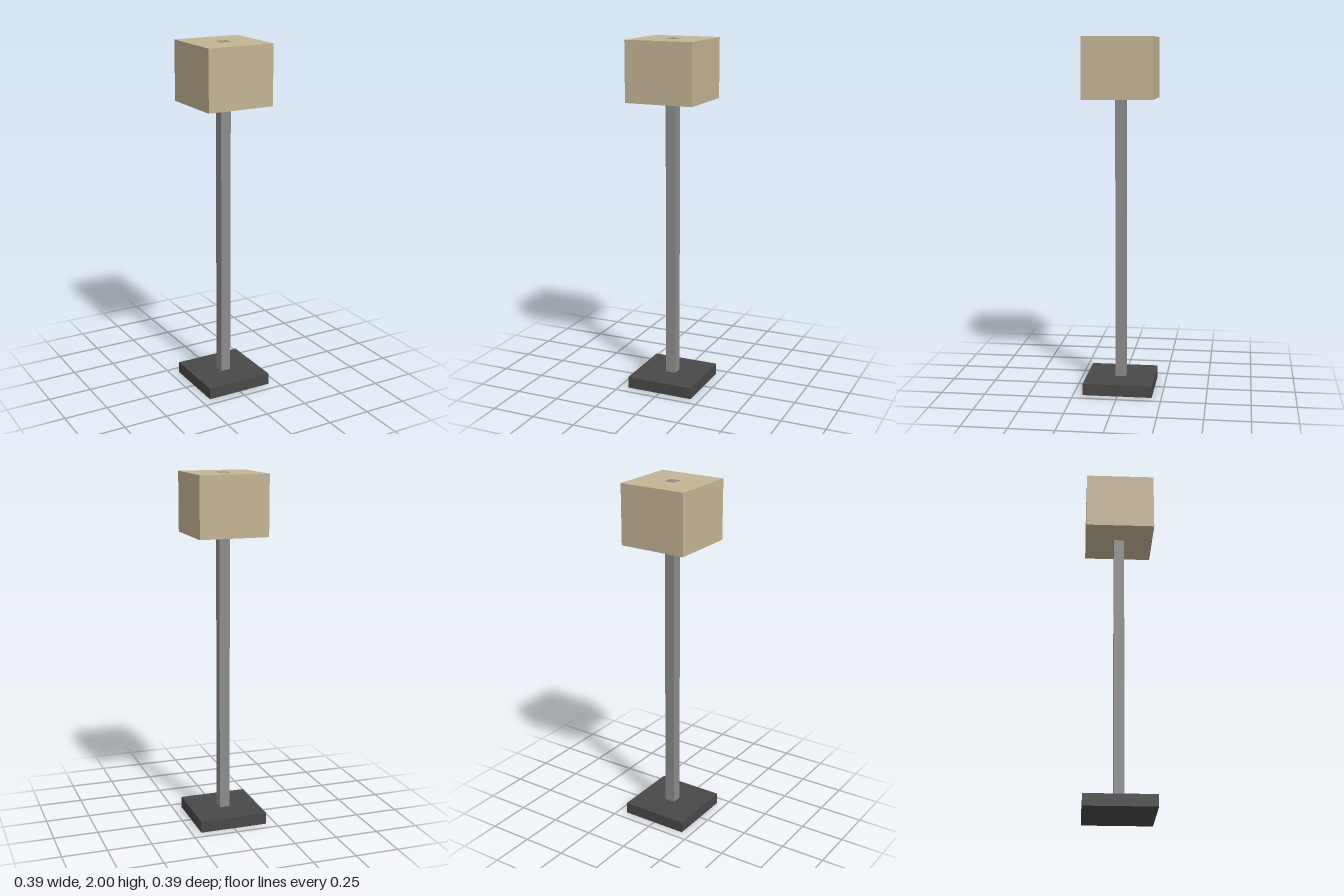
import * as THREE from 'three';

const material = (name, color) => {
  const m = new THREE.MeshStandardMaterial({ color });
  m.name = name;
  return m;
};

// Square block of the given width, spanning bottom to top
function block(name, width, bottom, top, mat) {
  const mesh = new THREE.Mesh(new THREE.BoxGeometry(width, top - bottom, width), mat);
  mesh.name = name;
  mesh.position.y = (bottom + top) / 2;
  return mesh;
}

export function createModel() {
  const lamp = new THREE.Group();
  lamp.name = 'floorLamp';
  lamp.add(
    block('base', 0.392, 0, 0.066, material('dark grey', 0x484848)),
    // The pole runs through the shade and just shows at its top
    block('pole', 0.06, 0.06, 2, material('mid grey', 0x8c8c8c)),
    block('shade', 0.392, 1.661, 1.999, material('beige', 0xc4b494)),
  );
  return lamp;
}
